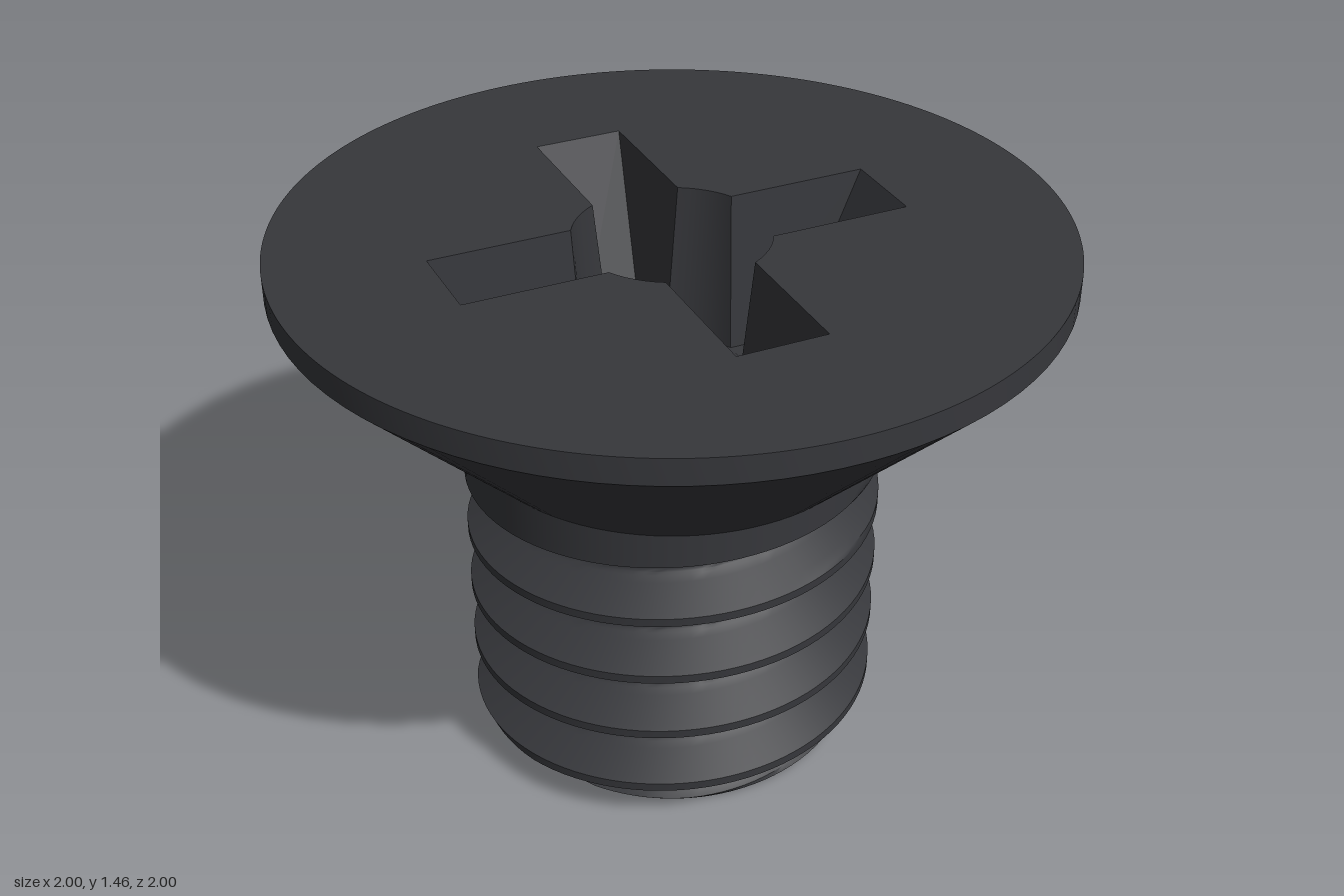
import * as THREE from 'three';
import { toCreasedNormals } from 'three/addons/utils/BufferGeometryUtils.js';

const SEG = 96, TAU = Math.PI * 2;
const TOP = 1.455, RIM = 1.385, NECK = 0.93;        // heights of the head
const CREST = 0.545, PITCH = 0.18, DEPTH = 0.113;   // thread
const FLANK = 0.0785, ROOT = 0.023;                 // half groove width, root rounding
const FLOOR = 1.035;                                // bottom of the cross recess

const material = new THREE.MeshStandardMaterial({ color: 0x36373b });

// Geometry from a flat list of corner points, three per face
function fromTriangles(points, crease = 0.6) {
  const geometry = new THREE.BufferGeometry().setFromPoints(points);
  return toCreasedNormals(geometry, crease);
}

function add(group, name, geometry) {
  const mesh = new THREE.Mesh(geometry, material);
  mesh.name = name;
  group.add(mesh);
  return mesh;
}

// Shank radius at an angle and height: V groove, rounded root, run-out at the neck, chamfered tip
function shankRadius(a, y) {
  const k = Math.round((y - 0.05) / PITCH - a / TAU);
  const centre = 0.05 + PITCH * (k + a / TAU);
  const u = Math.abs(y - centre);
  let depth = u < ROOT * Math.cos(Math.PI / 6)
    ? DEPTH - ROOT + Math.sqrt(ROOT * ROOT - u * u)
    : (FLANK - u) * Math.sqrt(3);
  const fade = THREE.MathUtils.clamp((centre - 0.775) / 0.13, 0, 1);
  depth = Math.max(0, depth - fade * DEPTH);
  return Math.min(CREST - depth, 0.45 + y);
}

function shankPoint(a, y) {
  const h = THREE.MathUtils.clamp(y, 0, NECK);
  const r = shankRadius(a, h);
  return new THREE.Vector3(r * Math.sin(a), h, r * Math.cos(a));
}

function threadGeometry() {
  const half = [0.007, 0.014, 0.02, 0.03, 0.04, 0.05, 0.06, 0.07, FLANK];
  const offsets = [...half.map((u) => -u).reverse(), 0, ...half, PITCH - FLANK];
  const tris = [];
  const face = (p, q, r) => {
    const area = q.clone().sub(p).cross(r.clone().sub(p)).length();
    const flatEnd = p.y === q.y && q.y === r.y;
    if (area > 1e-9 && !flatEnd) tris.push(p, q, r);
  };
  for (let k = -1; k <= 5; k++) {
    for (let i = 0; i < SEG; i++) {
      const a0 = (i / SEG) * TAU, a1 = ((i + 1) / SEG) * TAU;
      const y0 = 0.05 + PITCH * (k + i / SEG), y1 = y0 + PITCH / SEG;
      for (let j = 0; j < offsets.length - 1; j++) {
        const p = shankPoint(a0, y0 + offsets[j]), q = shankPoint(a1, y1 + offsets[j]);
        const r = shankPoint(a1, y1 + offsets[j + 1]), s = shankPoint(a0, y0 + offsets[j + 1]);
        face(p, q, r);
        face(p, r, s);
      }
    }
  }
  return fromTriangles(tris);
}

function tipGeometry() {
  const tris = [];
  for (let i = 0; i < SEG; i++) {
    tris.push(new THREE.Vector3(), shankPoint(((i + 1) / SEG) * TAU, 0), shankPoint((i / SEG) * TAU, 0));
  }
  return fromTriangles(tris);
}

// Counter-clockwise cross outline with a round centre
function crossOutline(length, halfWidth, radius) {
  const points = [];
  const start = Math.asin(halfWidth / radius);
  const arcSteps = 6;
  for (let arm = 0; arm < 4; arm++) {
    const turn = (arm * Math.PI) / 2;
    const put = (x, y) => points.push(new THREE.Vector2(x, y).rotateAround(new THREE.Vector2(), turn));
    put(length, -halfWidth);
    put(length, halfWidth);
    for (let i = 0; i <= arcSteps; i++) {
      const a = start + (i / arcSteps) * (Math.PI / 2 - 2 * start);
      put(radius * Math.cos(a), radius * Math.sin(a));
    }
  }
  return points;
}

export function createModel() {
  const model = new THREE.Group();
  model.name = 'countersunkScrew';

  // Head: 45 degree cone and short rim
  const profile = [[CREST, NECK], [1, RIM], [1, TOP]].map(([x, y]) => new THREE.Vector2(x, y));
  add(model, 'head', toCreasedNormals(new THREE.LatheGeometry(profile, SEG), 0.6));

  // Flat top with the cross opening
  const upper = crossOutline(0.595, 0.118, 0.25);
  const lower = crossOutline(0.385, 0.078, 0.22);
  const disc = new THREE.Shape();
  disc.absarc(0, 0, 1, 0, TAU, false);
  disc.holes.push(new THREE.Path(upper));
  const face = new THREE.ShapeGeometry(disc, SEG);
  face.rotateX(-Math.PI / 2).translate(0, TOP, 0);
  add(model, 'headTop', face);

  // Tapered recess walls
  const recess = new THREE.Group();
  recess.name = 'crossRecess';
  model.add(recess);
  const walls = [];
  const lift = (p, y) => new THREE.Vector3(p.x, y, -p.y);
  upper.forEach((p, i) => {
    const n = (i + 1) % upper.length;
    const t0 = lift(p, TOP), t1 = lift(upper[n], TOP);
    const b0 = lift(lower[i], FLOOR), b1 = lift(lower[n], FLOOR);
    walls.push(t0, t1, b1, t0, b1, b0);
  });
  add(recess, 'recessWalls', fromTriangles(walls, 0.4));

  // Arm floors and the shallow conical centre
  const inner = 0.205, outer = 0.385;
  for (let arm = 0; arm < 4; arm++) {
    const floor = new THREE.PlaneGeometry(outer - inner, 0.156);
    floor.rotateX(-Math.PI / 2).translate((inner + outer) / 2, FLOOR, 0).rotateY((arm * Math.PI) / 2);
    add(recess, 'armFloor', floor);
  }
  const cone = [new THREE.Vector2(0, FLOOR - 0.06), new THREE.Vector2(0.22, FLOOR)];
  const coneGeometry = new THREE.LatheGeometry(cone.reverse(), 48);
  add(recess, 'recessCentre', coneGeometry);

  // Threaded shank and flat tip
  add(model, 'threadedShank', threadGeometry());
  add(model, 'shankTip', tipGeometry());

  return model;
}
